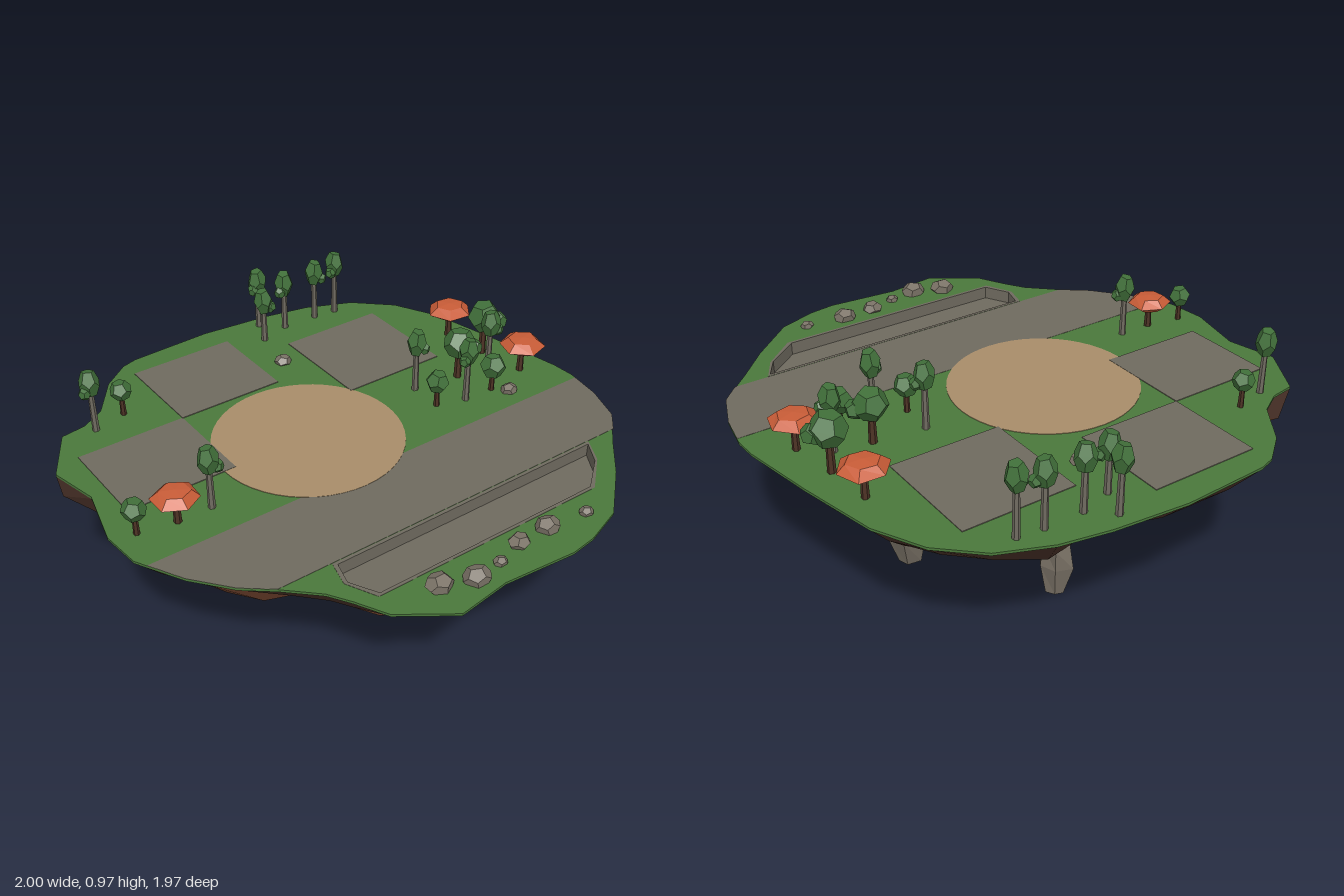
import * as THREE from 'three';

const mat = (name, color) => { const m = new THREE.MeshStandardMaterial({ color }); m.name = name; return m; };

// Seeded random, symmetric around 0 (-1..1)
function seeded(seed) {
  return () => { seed = (seed * 16807) % 2147483647; return (seed / 2147483647) * 2 - 1; };
}

export function createModel() {
  const root = new THREE.Group();
  root.name = 'floatingIsland';
  const M = {
    grass: mat('grass', 0x4a783b), leaf: mat('foliage', 0x41703a), orange: mat('orangeCanopy', 0xc85c37),
    soil: mat('darkSoil', 0x4c3329), clay: mat('redClay', 0x71422d), base: mat('baseRock', 0x5e5d53),
    stone: mat('stone', 0x7a7266), path: mat('paving', 0x6f6a5f), sand: mat('sand', 0xa88d69), wood: mat('trunkWood', 0x4c3224),
  };
  const rnd = seeded(4711);
  const flat = g => { const n = g.index ? g.toNonIndexed() : g; n.computeVertexNormals(); return n; };
  const add = (parent, name, geo, material, x = 0, y = 0, z = 0) => {
    const m = new THREE.Mesh(geo, material);
    m.name = name; m.position.set(x, y, z); parent.add(m);
    return m;
  };
  // Horizontal slab from (x, z) points; the hole runs against the outline
  const v2 = pts => pts.map(([x, z]) => new THREE.Vector2(x, -z));
  const slab = (name, pts, material, y, depth, hole) => {
    const s = new THREE.Shape(v2(pts));
    if (hole) s.holes.push(new THREE.Path(v2(hole).reverse()));
    const g = new THREE.ExtrudeGeometry(s, { depth, bevelEnabled: false });
    g.rotateX(-Math.PI / 2);
    return add(root, name, g, material, 0, y, 0);
  };

  // Island outline (x, z)
  const rim = [
    [-.385, -.97], [-.04, -.985], [.25, -.957], [.44, -.92], [.63, -.84], [.775, -.705], [.87, -.52], [.94, -.21],
    [.995, .085], [1, .18], [.975, .33], [.92, .48], [.78, .62], [.66, .75], [.48, .91], [.325, .965], [.22, .98],
    [-.065, .957], [-.27, .985], [-.455, .855], [-.515, .74], [-.565, .66], [-.675, .555], [-.78, .47], [-.89, .335],
    [-.985, .16], [-1, 0], [-.945, -.235], [-.99, -.43], [-.87, -.635], [-.77, -.65], [-.675, -.705], [-.56, -.865], [-.45, -.95],
  ];

  // Underside: rings shrinking towards an off-centre tip and growing rounder
  // (height, size, size jitter, height jitter, roundness)
  const tip = [.065, -.06];
  const rings = [[.687, 1, 0, 0, 0], [.57, .86, .04, .025, 0], [.49, .765, .045, .015, .2], [.42, .665, .025, .006, .45],
    [.26, .45, .02, .005, .8], [.11, .2, .015, .012, 1], [.005, 0, 0, 0, 1]]
    .map(([y, f, jf, jy, round], level) => rim.map(([x, z]) => {
      const overhang = level === 1 && x < -.85 && z < -.2 ? .12 : 0;
      const k = f + overhang + rnd() * jf, s = 1 - round + round * .97 / Math.hypot(x, z);
      return [tip[0] + (x * s - tip[0]) * k, y + rnd() * jy, tip[1] + (z * s - tip[1]) * k];
    }));
  const bands = [['upperSoil', M.soil], ['clayBand', M.clay], ['clayBand', M.clay], ['lowerSoil', M.soil], ['baseRock', M.base], ['baseTip', M.base]];
  bands.forEach(([name, material], l) => {
    const pos = [];
    rim.forEach((_, i) => {
      const j = (i + 1) % rim.length;
      const [a, b, c, d] = [rings[l][i], rings[l][j], rings[l + 1][j], rings[l + 1][i]];
      if ((i + l) % 2) pos.push(...a, ...b, ...c, ...a, ...c, ...d);
      else pos.push(...a, ...b, ...d, ...b, ...c, ...d);
    });
    const g = new THREE.BufferGeometry();
    g.setAttribute('position', new THREE.Float32BufferAttribute(pos, 3));
    g.computeVertexNormals();
    add(root, name, g, material);
  });

  // Grass cap with a sunken paved basin
  const basin = [[-.465, .555], [.715, .555], [.66, .655], [.53, .77], [-.435, .77], [-.49, .655]];
  const inner = basin.map(([x, z]) => [.11 + (x - .11) * .976, .6625 + (z - .6625) * .88]);
  slab('grassCap', rim, M.grass, .685, .01, basin);
  slab('basinFloor', basin, M.path, .64, .005);
  slab('basinWall', basin, M.path, .642, .054, inner);

  // Paved and sandy ground areas
  slab('road', [[.995, .205], [.975, .33], [.92, .48], [.853, .552], [-.677, .552], [-.78, .47], [-.89, .335], [-.96, .205]], M.path, .694, .002);
  const disc = Array.from({ length: 48 }, (_, i) => {
    const a = -i / 48 * Math.PI * 2;
    return [-.12 + .368 * Math.cos(a), -.085 + .368 * Math.sin(a)];
  });
  slab('sandCircle', disc, M.sand, .694, .003);
  [[-.44, 0, -.87, -.475], [.2, .645, -.7, -.25], [-.88, -.44, -.475, -.085]].forEach(([x0, x1, z0, z1]) =>
    slab('pavedPlot', [[x0, z0], [x1, z0], [x1, z1], [x0, z1]], M.path, .694, .004));

  // Faceted solid of revolution with uneven corners
  const crystal = (profile, sides, jitter) => {
    const g = new THREE.LatheGeometry(profile.map(([r, y]) => new THREE.Vector2(r, y)), sides);
    const p = g.attributes.position, n = profile.length;
    for (let i = 0; i < p.count; i++) {
      const seg = Math.floor(i / n) % sides, s = 1 + jitter * Math.sin(seg * 2.4 + (i % n) * 1.7);
      p.setXYZ(i, p.getX(i) * s, p.getY(i), p.getZ(i) * s);
    }
    return flat(g);
  };

  // Hanging rock shards: x, z, bottom, height, radius in x and z
  [[.415, .055, .01, .3, .11, .095, 'greyShard'], [.065, -.43, .01, .28, .07, .075, 'greyShard'], [-.495, -.36, .155, .22, .095, .1, 'brownShard']]
    .forEach(([x, z, y, h, rx, rz, name], k) => {
      const g = crystal([[0, 0], [.5, .02], [.95, .5], [.9, .85], [.5, 1], [0, 1]], 6, .14);
      g.rotateY(k + .4);
      g.scale(rx, h, rz);
      g.computeVertexNormals();
      if (name === 'brownShard') {
        const nz = g.attributes.normal;
        for (let i = 0; i < nz.count; i += 3) g.addGroup(i, 3, nz.getZ(i) > .25 ? 0 : 1);
      }
      add(root, name, g, name === 'brownShard' ? [M.stone, M.clay] : M.stone, x, y, z);
    });

  // Boulders: x, z, radius
  [[-.25, .845, .052], [-.13, .89, .052], [-.015, .875, .027], [.1, .84, .043], [.235, .835, .048], [.4, .855, .028], [.1, -.59, .037], [.71, .12, .036]]
    .forEach(([x, z, r], i) => {
      const g = new THREE.DodecahedronGeometry(r);
      g.rotateX(i);
      g.rotateZ(i * 1.7);
      g.scale(1, .7, .88);
      add(root, 'boulder', flat(g), M.stone, x, .695 + r * .25, z);
    });

  // Trees
  const G = .69;
  const tree = (name, x, z) => {
    const t = new THREE.Group();
    t.name = name; t.position.set(x, G, z); root.add(t);
    return t;
  };
  const trunk = (t, h, r, material) => add(t, 'trunk', flat(new THREE.CylinderGeometry(r * .75, r, h, 6)), material, 0, h / 2, 0);
  const blob = (t, r, x, y, z, sy = 1) => {
    const g = new THREE.DodecahedronGeometry(r);
    g.rotateX(x * 20 + .4);
    g.rotateY(t.position.x * 9);
    g.scale(1, sy, 1);
    add(t, 'foliage', flat(g), M.leaf, x, y, z);
  };

  // Tall slender trees: x, z, top
  [[-.745, -.6, .965], [-.63, .065, .96], [.185, -.905, .97], [.14, -.79, .94], [.27, -.83, .965], [.425, -.83, .97],
    [.525, -.82, .985], [.415, -.11, .97], [.53, .065, .975], [.755, -.06, .965]].forEach(([x, z, top], i) => {
    const t = tree('tallTree', x, z), h = top - G;
    trunk(t, h - .06, .014, M.path);
    blob(t, .04, 0, h - .06, 0, 1.55);
    blob(t, .024, i % 2 ? .028 : -.028, h - .09, .012, 1.1);
  });

  // Small round trees and broad bushy trees: x, z, canopy centre, radius
  [[-.91, .04, .8, .045], [-.61, -.635, .805, .043], [.41, .03, .805, .047], [.66, .07, .805, .052],
    [.615, -.085, .85, .065], [.82, -.17, .865, .069]].forEach(([x, z, y, r]) => {
    const t = tree(r > .06 ? 'bushyTree' : 'smallTree', x, z);
    trunk(t, y - G, r > .06 ? .016 : .012, M.wood);
    blob(t, r, 0, y - G, 0);
    if (r > .06) blob(t, r * .6, .045, y - G - .02, .03);
  });

  // Flat-topped orange trees: x, z, canopy centre, radius
  [[-.765, .065, .803, .088], [.8, -.365, .815, .095], [.855, .025, .815, .095]].forEach(([x, z, y, r], i) => {
    const t = tree('orangeTree', x, z);
    trunk(t, y - G, .015, M.wood);
    const g = crystal([[0, -.03], [.5, -.03], [1, -.002], [.62, .026], [0, .031]], 6, .05);
    g.scale(r, 1, r);
    g.rotateY(i * .4);
    g.computeVertexNormals();
    add(t, 'canopy', g, M.orange, 0, y - G, 0);
  });

  return root;
}
